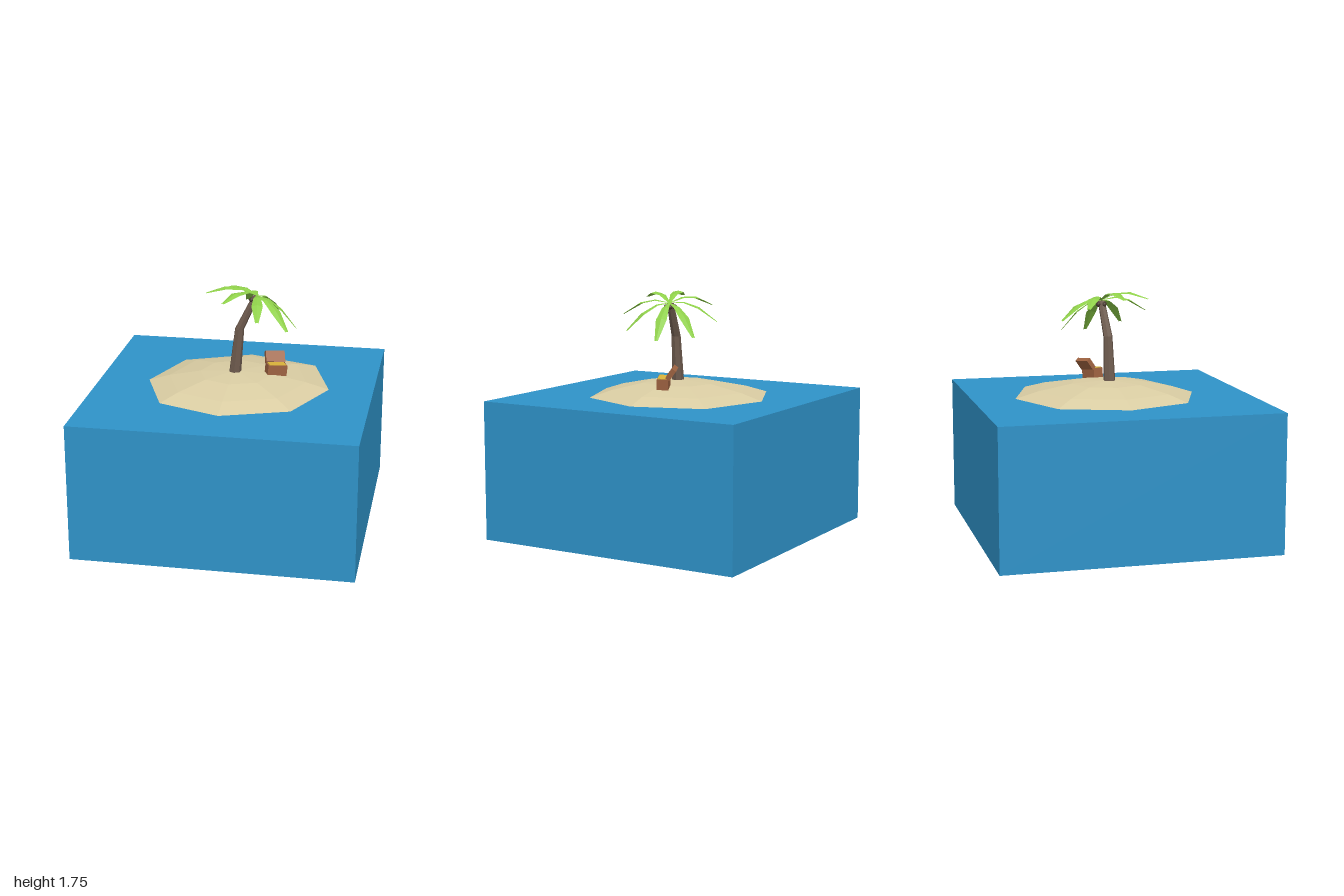
import * as THREE from 'three';

const mat = (name, color, extra = {}) => {
  const m = new THREE.MeshStandardMaterial({ color, flatShading: true, ...extra });
  m.name = name;
  return m;
};

// Surface through rows of points; rows run upward, points run anticlockwise from above
function loft(rows, closed) {
  const n = rows[0].length, index = [];
  for (let i = 0; i < rows.length - 1; i++) {
    for (let j = 0; j < (closed ? n : n - 1); j++) {
      const k = (j + 1) % n, a = i * n + j, b = i * n + k;
      index.push(a, b, b + n, a, b + n, a + n);
    }
  }
  const g = new THREE.BufferGeometry();
  g.setAttribute('position', new THREE.Float32BufferAttribute(rows.flat(2), 3));
  g.setIndex(index);
  g.computeVertexNormals();
  return g;
}

export function createModel() {
  const model = new THREE.Group();
  const water = mat('water blue', 0x2f93c9);
  const sand = mat('sand', 0xdacda3);
  const bark = mat('bark', 0x6e5b4e);
  const leafGreen = mat('leaf green', 0x8fd04a, { side: THREE.DoubleSide });
  const nut = mat('coconut brown', 0x4a3a30);
  const wood = mat('chest wood', 0x9f6341);
  const gold = mat('gold', 0xd8b23a);

  const add = (name, geometry, material, parent = model, pos = [0, 0, 0]) => {
    const m = new THREE.Mesh(geometry, material);
    m.name = name;
    m.position.set(...pos);
    parent.add(m);
    return m;
  };

  // Block of sea
  add('sea', new THREE.BoxGeometry(2, 1, 2), water, model, [0, 0.5, 0]);

  // Low eight-sided island, shrinking in rings to its crown
  const shore = [[-0.01, 0.63], [0.47, 0.46], [0.68, -0.02], [0.52, -0.52],
    [0.01, -0.69], [-0.47, -0.48], [-0.64, 0], [-0.46, 0.46]];
  const levels = [[1, 1], [0.76, 1.048], [0.4, 1.095], [0.001, 1.113]];
  add('island', loft(levels.map(([s, y]) => shore.map(([x, z]) => [x * s, y, z * s])), true), sand);

  // Bent trunk
  const palm = new THREE.Group();
  palm.name = 'palmTree';
  model.add(palm);
  const trunk = [[-0.003, 1.09, 0.003, 0.045], [0.03, 1.43, 0.0, 0.034],
    [0.145, 1.675, -0.02, 0.026], [0.146, 1.677, -0.02, 0.001]];
  add('trunk', loft(trunk.map(([x, y, z, r]) => Array.from({ length: 7 }, (_, j) => {
    const a = j / 7 * Math.PI * 2;
    return [x + r * Math.sin(a), y, z + r * Math.cos(a)];
  })), true), bark, palm);

  // Drooping fronds, folded along the middle
  const crown = new THREE.Vector3(0.155, 1.68, -0.02);
  const tips = [[-0.17, 1.65, -0.19], [0.03, 1.55, -0.34], [0.28, 1.455, -0.29], [0.43, 1.435, -0.075],
    [0.4, 1.49, 0.19], [0.21, 1.59, 0.335], [-0.04, 1.7, 0.285], [-0.195, 1.71, 0.07]];
  const widths = [[0, 0.008], [0.3, 0.026], [0.62, 0.04], [1, 0.012]];
  for (const t of tips) {
    const tip = new THREE.Vector3(...t);
    const mid = crown.clone().lerp(tip, 0.5);
    mid.y += 0.11;
    const curve = new THREE.QuadraticBezierCurve3(crown, mid, tip);
    const side = new THREE.Vector3(-(tip.z - crown.z), 0, tip.x - crown.x).normalize();
    const rows = widths.map(([u, w]) => {
      const p = curve.getPoint(u);
      return [-1, 0, 1].map(s => [p.x + side.x * w * s, p.y - Math.abs(s) * w * 0.25, p.z + side.z * w * s]);
    });
    add('frond', loft(rows, false), leafGreen, palm);
  }

  // Coconuts under the crown
  for (let i = 0; i < 4; i++) {
    const a = i * Math.PI / 2 + 0.5;
    add('coconut', new THREE.IcosahedronGeometry(0.018, 1), nut, palm,
      [0.142 + 0.03 * Math.sin(a), 1.65, -0.02 + 0.03 * Math.cos(a)]);
  }

  // Open treasure chest, half sunk at an angle
  const chest = new THREE.Group();
  chest.name = 'treasureChest';
  chest.position.set(0.29, 1.123, -0.052);
  chest.rotation.set(0, 0.42, -0.1, 'YXZ');
  model.add(chest);
  add('chestBase', new THREE.BoxGeometry(0.143, 0.076, 0.082), wood, chest);
  add('treasure', new THREE.BoxGeometry(0.125, 0.006, 0.064), gold, chest, [0, 0.04, 0.004]);
  const lid = add('chestLid', new THREE.BoxGeometry(0.143, 0.085, 0.034).translate(0, 0.04, 0),
    wood, chest, [0, 0.04, -0.036]);
  lid.rotation.x = -0.62;

  return model;
}
